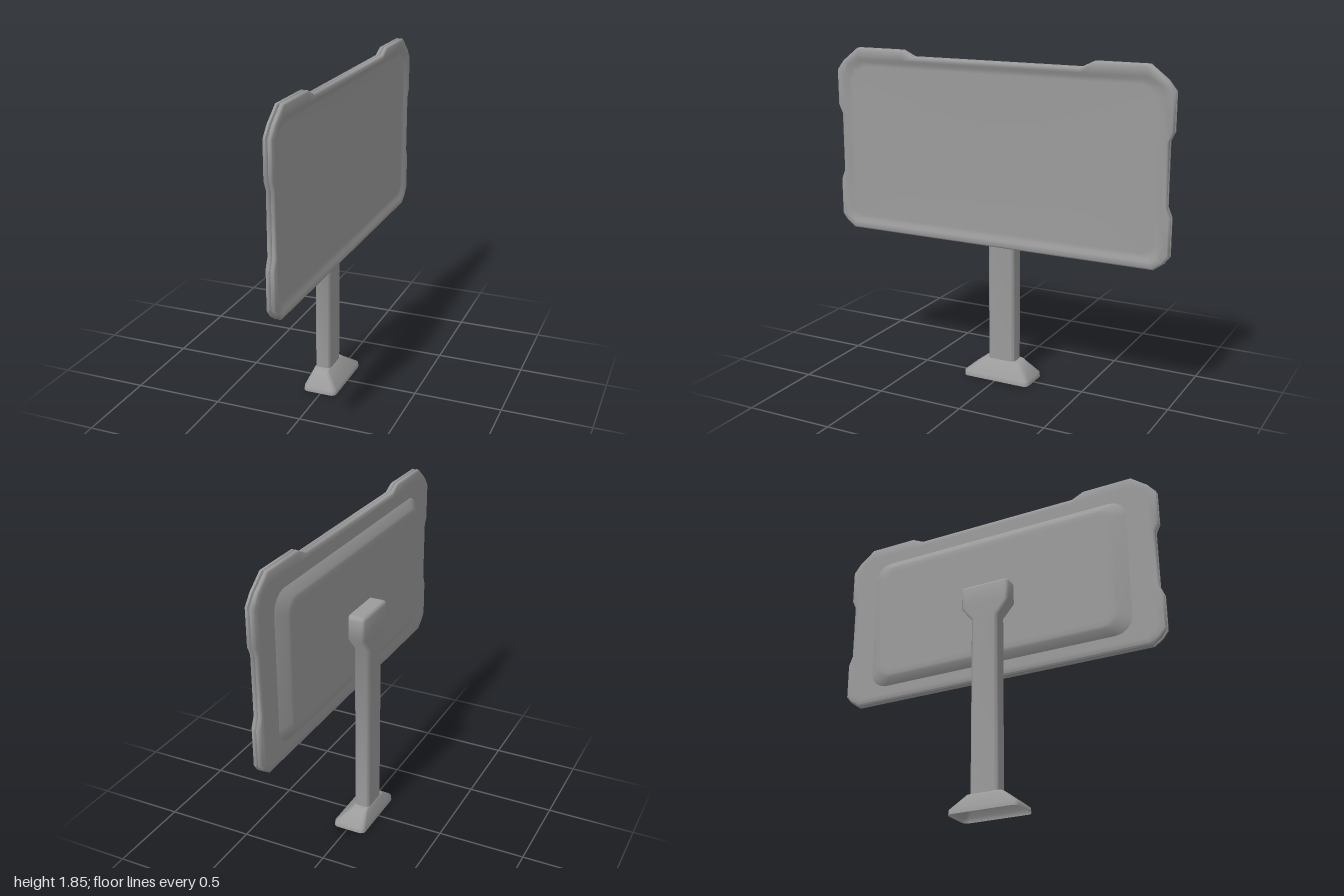
import * as THREE from 'three';
import { toCreasedNormals } from 'three/addons/utils/BufferGeometryUtils.js';

const material = new THREE.MeshStandardMaterial({ color: 0x9c9c9c, side: THREE.DoubleSide });

// Skin a row of matching loops; each loop runs counter-clockwise about the direction of travel.
function loft(name, loops, capStart, capEnd, crease = 1.2) {
  const n = loops[0].length;
  const points = loops.flat();
  const index = [];
  for (let i = 0; i < loops.length - 1; i++) {
    for (let j = 0; j < n; j++) {
      const k = (j + 1) % n;
      const a = i * n + j, b = i * n + k, c = b + n, d = a + n;
      index.push(a, b, c, a, c, d);
    }
  }
  const cap = (row, flip) => {
    const centre = new THREE.Vector3();
    loops[row].forEach((p) => centre.addScaledVector(p, 1 / n));
    const m = points.push(centre) - 1;
    for (let j = 0; j < n; j++) {
      const a = row * n + j, b = row * n + (j + 1) % n;
      index.push(m, flip ? b : a, flip ? a : b);
    }
  };
  if (capStart) cap(0, true);
  if (capEnd) cap(loops.length - 1, false);
  const geometry = new THREE.BufferGeometry().setFromPoints(points);
  geometry.setIndex(index);
  const mesh = new THREE.Mesh(toCreasedNormals(geometry, crease), material);
  mesh.name = name;
  return mesh;
}

// Rounded rectangle as [u, v] pairs, counter-clockwise.
function roundedRect(u0, u1, v0, v1, r, steps = 4) {
  const corners = [[u1 - r, v1 - r], [u0 + r, v1 - r], [u0 + r, v0 + r], [u1 - r, v0 + r]];
  return corners.flatMap(([u, v], q) => Array.from({ length: steps + 1 }, (_, s) => {
    const t = (q + s / steps) * Math.PI / 2;
    return [u + r * Math.cos(t), v + r * Math.sin(t)];
  }));
}

const slabLoop = (x, y0, y1, halfZ, r) =>
  roundedRect(y0, y1, -halfZ, halfZ, r).map(([y, z]) => new THREE.Vector3(x, y, z));
const postLoop = (y, x0, x1, halfZ, r) =>
  roundedRect(-halfZ, halfZ, x0, x1, r).map(([z, x]) => new THREE.Vector3(x, y, z));

// Half outlines [z, y] from top to bottom, mirrored to the other side.
const outerHalf = [
  [0.5, 1.815], [0.57, 1.848], [0.86, 1.848], [0.955, 1.775], [1, 1.72], [1, 1.52],
  [0.977, 1.47], [0.977, 1.135], [1, 1.08], [1, 0.875], [0.97, 0.835], [0.92, 0.799],
];
const innerHalf = [
  [0.5, 1.785], [0.57, 1.785], [0.86, 1.785], [0.925, 1.75], [0.95, 1.69], [0.95, 1.52],
  [0.95, 1.47], [0.95, 1.135], [0.95, 1.08], [0.95, 0.895], [0.935, 0.86], [0.9, 0.838],
];
const midY = 1.32;

function frameLoop(half, x, inset) {
  const ring = [...half, ...half.map(([z, y]) => [-z, y]).reverse()];
  return ring.map(([z, y]) => new THREE.Vector3(
    x, midY + (y - midY) * (1 - inset / 0.52), z * (1 - inset)));
}

export function createModel() {
  const model = new THREE.Group();
  model.name = 'screenOnStand';

  // Notched frame with a groove round its edge, a front lip and a sunken screen
  model.add(loft('screenFrame', [
    frameLoop(innerHalf, 0.053, 0.02),
    frameLoop(innerHalf, 0.053, 0),
    frameLoop(outerHalf, 0.054, 0.01),
    frameLoop(outerHalf, 0.059, 0.001),
    frameLoop(outerHalf, 0.072, 0),
    frameLoop(outerHalf, 0.078, 0.012),
    frameLoop(outerHalf, 0.084, 0),
    frameLoop(outerHalf, 0.097, 0.001),
    frameLoop(outerHalf, 0.103, 0.01),
    frameLoop(innerHalf, 0.101, 0),
    frameLoop(innerHalf, 0.089, 0.018),
    frameLoop(innerHalf, 0.088, 0.045),
  ], true, true));

  // Tapered housing behind the screen
  model.add(loft('backHousing', [
    slabLoop(0.015, 0.975, 1.625, 0.705, 0.05),
    slabLoop(0.015, 0.945, 1.655, 0.735, 0.07),
    slabLoop(0.019, 0.93, 1.67, 0.755, 0.08),
    slabLoop(0.055, 0.888, 1.718, 0.825, 0.1),
  ], true, false));

  // Flared foot, open underneath
  model.add(loft('foot', [
    postLoop(0, -0.107, 0.09, 0.204, 0.03),
    postLoop(0.028, -0.105, 0.088, 0.202, 0.03),
    postLoop(0.09, -0.083, 0.015, 0.122, 0.025),
    postLoop(0.1, -0.08, 0.01, 0.108, 0.02),
    postLoop(0.102, -0.079, 0.009, 0.08, 0.02),
  ], false, false));

  // Post widening into the mounting head
  model.add(loft('post', [
    postLoop(0.096, -0.08, 0.01, 0.083, 0.02),
    postLoop(1.12, -0.08, 0.012, 0.083, 0.02),
    postLoop(1.2, -0.08, 0.018, 0.147, 0.02),
    postLoop(1.315, -0.08, 0.018, 0.147, 0.02),
    postLoop(1.329, -0.075, 0.018, 0.142, 0.018),
    postLoop(1.335, -0.062, 0.018, 0.13, 0.014),
    postLoop(1.335, -0.05, 0.01, 0.115, 0.01),
  ], false, true));

  return model;
}
